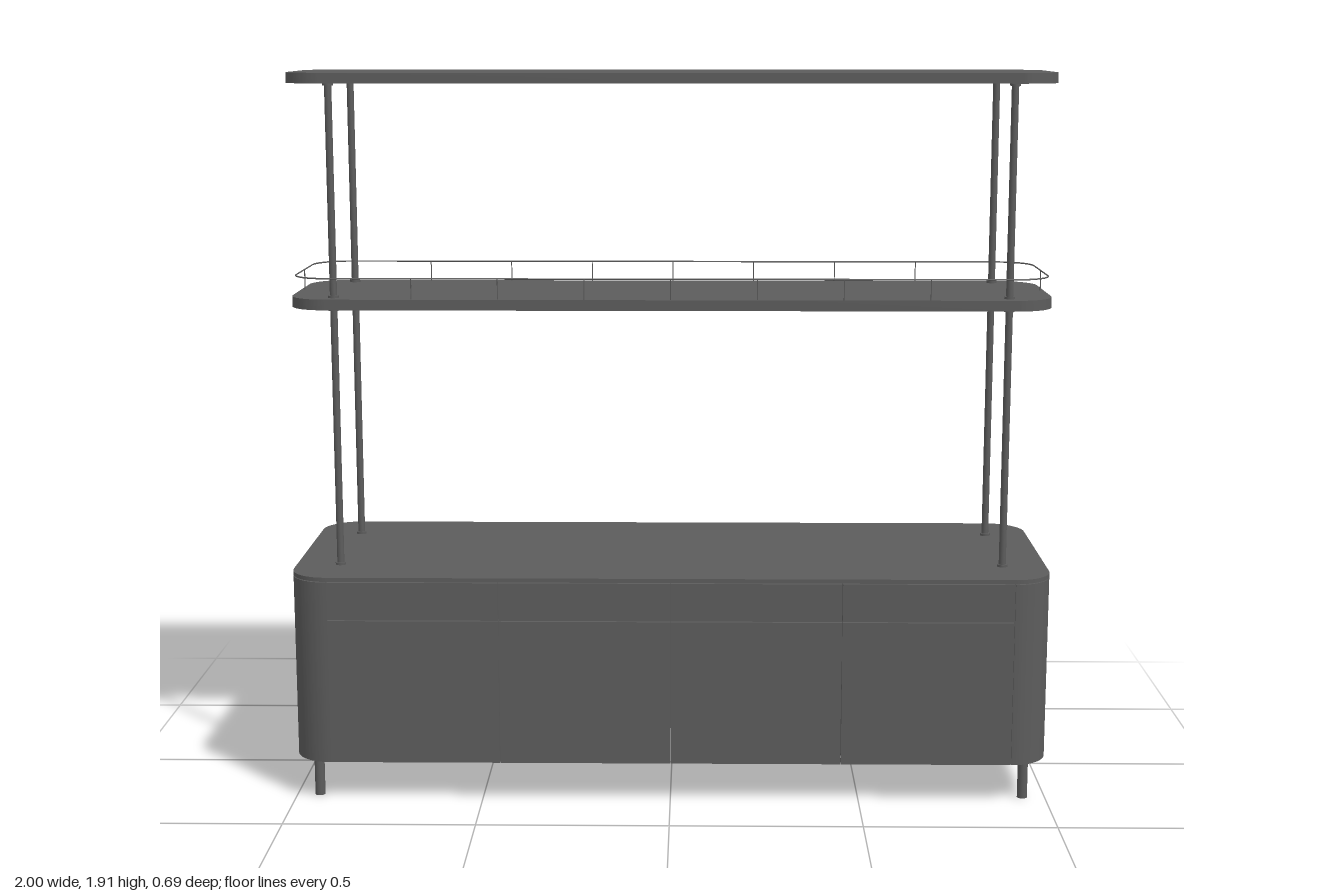
import * as THREE from 'three';
import { toCreasedNormals } from 'three/addons/utils/BufferGeometryUtils.js';

export function createModel() {
  const model = new THREE.Group();
  const mat = new THREE.MeshStandardMaterial({ color: 0x5c5c5c });

  function add(name, geo, x = 0, y = 0, z = 0) {
    const mesh = new THREE.Mesh(geo, mat);
    mesh.name = name;
    mesh.position.set(x, y, z);
    model.add(mesh);
  }
  const rod = (r, y0, y1, n = 16) => new THREE.CylinderGeometry(r, r, y1 - y0, n).translate(0, (y0 + y1) / 2, 0);

  // Plan outline with rounded corners, half sizes a and b
  function roundedRect(a, b, r) {
    const s = new THREE.Shape();
    s.absarc(a - r, b - r, r, 0, Math.PI / 2);
    s.absarc(-a + r, b - r, r, Math.PI / 2, Math.PI);
    s.absarc(-a + r, -b + r, r, Math.PI, Math.PI * 1.5);
    s.absarc(a - r, -b + r, r, Math.PI * 1.5, Math.PI * 2);
    s.closePath();
    return s;
  }
  // Extrude a plan outline upwards from y0 to y1
  function slab(shape, y0, y1) {
    const g = new THREE.ExtrudeGeometry(shape, { depth: y1 - y0, bevelEnabled: false, curveSegments: 14 });
    g.rotateX(-Math.PI / 2).translate(0, y0, 0);
    return toCreasedNormals(g, 0.6);
  }

  // Countertop, shelf and top board
  add('countertop', slab(roundedRect(1, 0.331, 0.1), 0.601, 0.612));
  add('middleShelf', slab(roundedRect(1, 0.226, 0.1), 1.301, 1.329));
  add('topShelf', slab(roundedRect(1, 0.226, 0.1), 1.884, 1.911));

  // Hollow rounded end panels, open below
  const t = 0.012, R = 0.1, hz = 0.331, hx = 1, inner = 0.9;
  for (const s of [-1, 1]) {
    const u = new THREE.Shape();
    u.moveTo(inner, -hz);
    u.absarc(hx - R, -hz + R, R, -Math.PI / 2, 0, false);
    u.absarc(hx - R, hz - R, R, 0, Math.PI / 2, false);
    u.lineTo(inner, hz);
    u.lineTo(inner, hz - t);
    u.absarc(hx - R, hz - R, R - t, Math.PI / 2, 0, true);
    u.absarc(hx - R, -hz + R, R - t, 0, -Math.PI / 2, true);
    u.closePath();
    const end = slab(u, 0.109, 0.599);
    if (s < 0) end.rotateY(Math.PI);
    add('endPanel', end);
  }

  // Four bays: a carcass with a door and a drawer front on both long sides
  const bays = [-0.675, -0.225, 0.225, 0.675];
  const frontWidth = 0.4485, frontDepth = 0.02, frontZ = hz - 0.001 - frontDepth / 2;
  for (const x of bays) {
    add('carcass', new THREE.BoxGeometry(0.442, 0.488, 0.62), x, 0.353, 0);
    for (const s of [-1, 1]) {
      add('doorFront', new THREE.BoxGeometry(frontWidth, 0.386, frontDepth), x, 0.302, s * frontZ);
      add('drawerFront', new THREE.BoxGeometry(frontWidth, 0.101, frontDepth), x, 0.548, s * frontZ);
    }
  }

  // Flared knobs on both long sides
  function knob(name, r, x, y, s) {
    const g = new THREE.CylinderGeometry(r, r * 0.4, 0.018, 32).rotateX(Math.PI / 2);
    if (s < 0) g.rotateY(Math.PI);
    add(name, g, x, y, s * 0.338);
  }
  for (const s of [-1, 1]) {
    for (const x of bays) knob('drawerKnob', 0.021, x, 0.546, s);
    for (const x of [-0.45, 0.45]) knob('doorKnob', 0.034, x, 0.429, s);
  }

  // Legs, shelf posts and their collars
  for (const sx of [-1, 1]) for (const sz of [-1, 1]) {
    add('leg', rod(0.0135, 0, 0.601), sx * 0.94, 0, sz * 0.271);
    add('post', rod(0.0095, 0.605, 1.89), sx * 0.883, 0, sz * 0.182);
    for (const y of [0.612, 1.295, 1.329, 1.878])
      add('collar', rod(0.014, y, y + 0.006), sx * 0.883, 0, sz * 0.182);
  }

  // Thin gallery rail around the middle shelf
  const pts = roundedRect(0.99, 0.219, 0.095).getPoints(10).map(p => new THREE.Vector3(p.x, 1.383, p.y));
  const path = new THREE.CurvePath();
  pts.forEach((p, i) => {
    const q = pts[(i + 1) % pts.length];
    if (p.distanceTo(q) > 1e-5) path.add(new THREE.LineCurve3(p, q));
  });
  add('galleryRail', new THREE.TubeGeometry(path, 400, 0.002, 6, true));
  const picket = rod(0.0015, 1.325, 1.383, 6);
  for (let i = -3; i <= 3; i++) for (const s of [-1, 1]) add('railPicket', picket, i * 0.225, 0, s * 0.219);
  for (const s of [-1, 1]) add('railPicket', picket, s * 0.99, 0, 0);

  return model;
}
